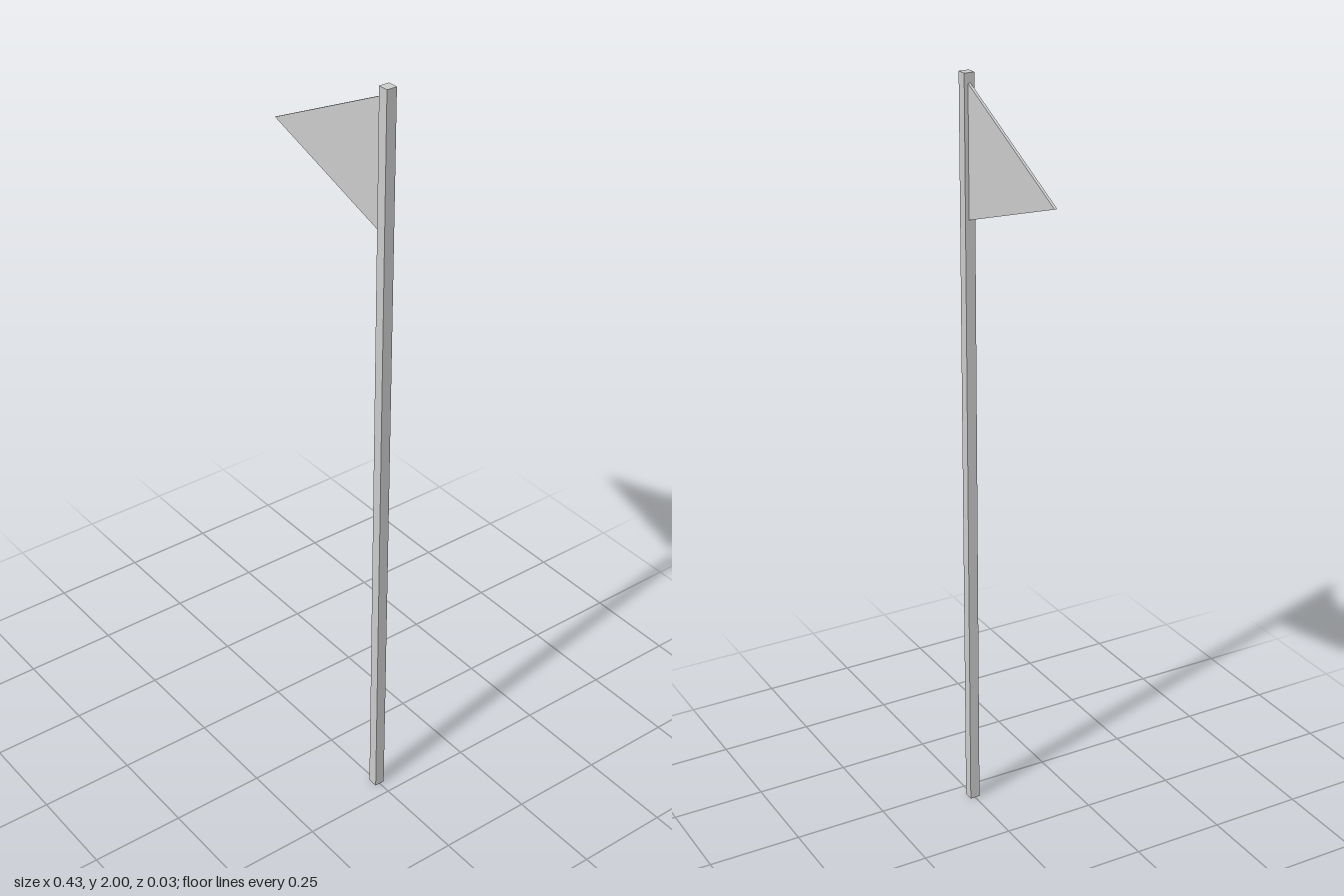
import * as THREE from 'three';

export function createModel() {
  const model = new THREE.Group();
  model.name = 'pennantOnPole';
  const material = new THREE.MeshStandardMaterial({ color: 0xcccccc, flatShading: true });

  const poleWidth = 0.027, poleX = 0.2, flagDepth = 0.007;

  // Square pole
  const pole = new THREE.Mesh(new THREE.BoxGeometry(poleWidth, 2, poleWidth), material);
  pole.name = 'pole';
  pole.position.set(poleX, 1, 0);
  model.add(pole);

  // Thin triangular flag, its hoist edge against the pole
  const hoistX = poleX - poleWidth / 2;
  const outline = new THREE.Shape([
    new THREE.Vector2(hoistX, 1.975),
    new THREE.Vector2(-0.213, 1.777),
    new THREE.Vector2(hoistX, 1.643),
  ]);
  const flagGeometry = new THREE.ExtrudeGeometry(outline, { depth: flagDepth, bevelEnabled: false });
  flagGeometry.translate(0, 0, -flagDepth / 2);
  const flag = new THREE.Mesh(flagGeometry, material);
  flag.name = 'flag';
  model.add(flag);

  return model;
}
